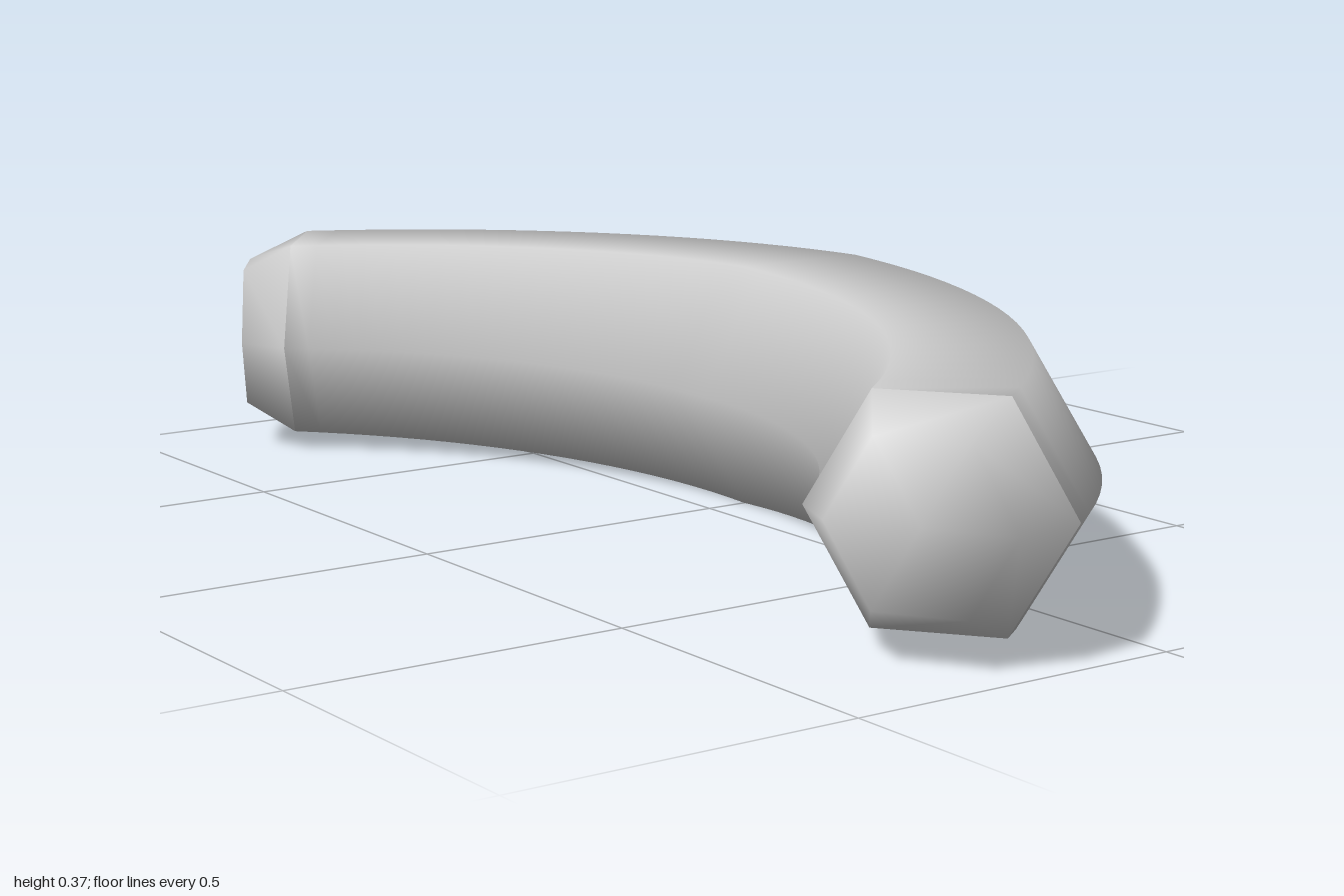
import * as THREE from 'three';
import { mergeVertices } from 'three/addons/utils/BufferGeometryUtils.js';

const SIDES = 6;
const ARC_RADIUS = 1.0546, ARC_X = -0.8826, MID_Y = 0.184;
const BODY_ANGLE = THREE.MathUtils.degToRad(52.8);
const TIP_ANGLE = THREE.MathUtils.degToRad(57.6);
const MID_RADIUS = 0.2125, END_RADIUS = 0.18, TIP_RADIUS = 0.129;

// Skin of hexagonal rings, each given as [angle along the arc, ring radius]
function sweep(rings) {
  const positions = [], index = [];
  for (const [t, r] of rings) {
    for (let j = 0; j < SIDES; j++) {
      const a = (j / SIDES) * Math.PI * 2;
      const d = ARC_RADIUS + r * Math.cos(a);
      positions.push(ARC_X + d * Math.cos(t), MID_Y + r * Math.sin(a), d * Math.sin(t));
    }
  }
  for (let i = 0; i < rings.length - 1; i++) {
    for (let j = 0; j < SIDES; j++) {
      const k = (j + 1) % SIDES;
      const a = i * SIDES + j, b = i * SIDES + k, c = a + SIDES, d = b + SIDES;
      // a ring of radius zero is a pole, so half of each quad is dropped
      if (rings[i][1] > 0) index.push(a, b, d);
      if (rings[i + 1][1] > 0) index.push(a, d, c);
    }
  }
  const raw = new THREE.BufferGeometry();
  raw.setAttribute('position', new THREE.Float32BufferAttribute(positions, 3));
  raw.setIndex(index);
  const geometry = mergeVertices(raw, 1e-5);
  geometry.computeVertexNormals();
  return geometry;
}

export function createModel() {
  const group = new THREE.Group();
  group.name = 'curvedBar';
  const material = new THREE.MeshStandardMaterial({ color: 0xcccccc });
  const add = (name, rings) => {
    const mesh = new THREE.Mesh(sweep(rings), material);
    mesh.name = name;
    group.add(mesh);
  };

  // Curved body, thickest in the middle
  const steps = 40;
  const body = [];
  for (let i = 0; i <= steps; i++) {
    const u = (i / steps) * 2 - 1;
    body.push([u * BODY_ANGLE, THREE.MathUtils.lerp(MID_RADIUS, END_RADIUS, Math.abs(u))]);
  }
  add('body', body);

  // Bevelled, closed ends
  add('frontEnd', [[BODY_ANGLE, END_RADIUS], [TIP_ANGLE, TIP_RADIUS], [TIP_ANGLE, 0]]);
  add('backEnd', [[-TIP_ANGLE, 0], [-TIP_ANGLE, TIP_RADIUS], [-BODY_ANGLE, END_RADIUS]]);

  return group;
}
